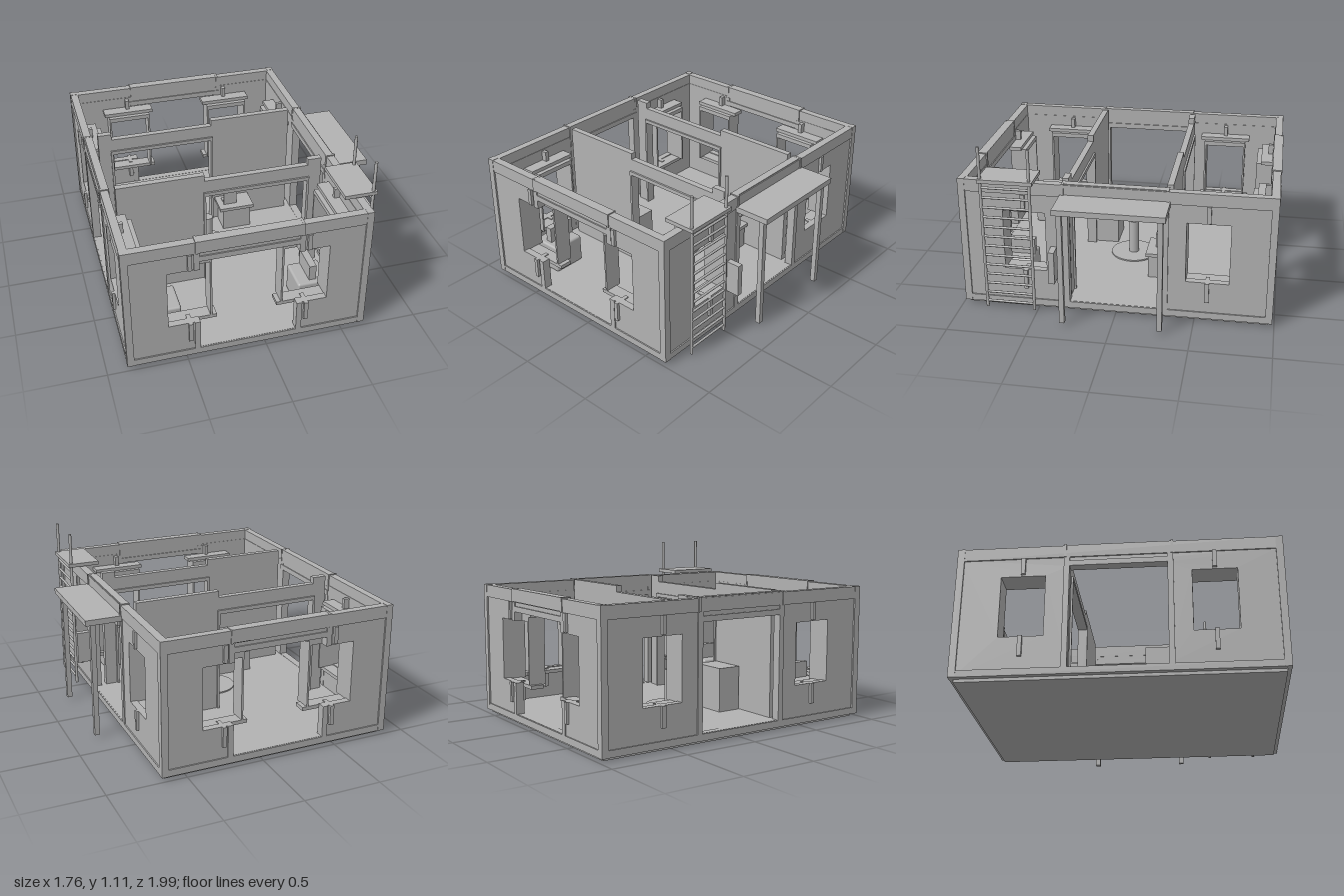
import * as THREE from 'three';
import { RoundedBoxGeometry } from 'three/addons/geometries/RoundedBoxGeometry.js';

const CX = -0.11; // centre of the house in x

export function createModel() {
  const root = new THREE.Group();
  const grey = new THREE.MeshStandardMaterial({ color: 0xb2b2b2 });
  grey.name = 'plain grey';

  const add = (parent, name, geo) => {
    const m = new THREE.Mesh(geo, grey);
    m.name = name;
    parent.add(m);
    return m;
  };
  // box from its two extreme corners
  const box = (parent, name, x0, x1, y0, y1, z0, z1) => {
    const m = add(parent, name, new THREE.BoxGeometry(x1 - x0, y1 - y0, z1 - z0));
    m.position.set((x0 + x1) / 2, (y0 + y1) / 2, (z0 + z1) / 2);
    return m;
  };
  const path = (pts, Type = THREE.Path) => new Type(pts.map(p => new THREE.Vector2(p[0], p[1])));
  const rect = (x0, x1, y0, y1) => [[x0, y0], [x1, y0], [x1, y1], [x0, y1]];

  // floor
  box(root, 'groundSlab', -0.84, 0.63, 0, 0.02, -0.96, 0.96);
  box(root, 'floor', -0.86, 0.64, 0.02, 0.063, -0.97, 0.97);

  // One outer wall, facing +z: w half width, d distance, door half width, u window centre
  function wall(name, w, d, door, u, angle, raised) {
    const g = new THREE.Group();
    g.name = name;
    g.position.x = CX;
    g.rotation.y = angle;
    root.add(g);
    const a = u - 0.135, b = u + 0.135, face = d - 0.008;
    const overlap = a < door;
    const shape = path(rect(-w, w, 0.02, 0.8), THREE.Shape);
    if (overlap) {
      // door and window openings run into each other
      shape.holes.push(path([
        [-door, 0.065], [door, 0.065], [door, 0.27], [b, 0.27], [b, 0.67], [door, 0.67],
        [door, 0.73], [-door, 0.73], [-door, 0.67], [-b, 0.67], [-b, 0.27], [-door, 0.27]]));
    } else {
      shape.holes.push(path(rect(-door, door, 0.065, 0.73)));
      for (const s of [-1, 1]) shape.holes.push(path(rect(s * u - 0.135, s * u + 0.135, 0.27, 0.67)));
    }
    const panel = add(g, 'wallPanel', new THREE.ExtrudeGeometry(shape, { depth: 0.045, bevelEnabled: false }));
    panel.position.z = face - 0.045;

    // base band, parapet and door header
    box(g, 'baseBand', -w, w, 0.02, 0.063, d - 0.045, d);
    box(g, 'parapet', -w, w, 0.79, 0.87, d - 0.05, d);
    box(g, 'parapetCentre', -0.32, 0.32, 0.795, 0.876, d - 0.055, d + raised);
    box(g, 'doorHeader', -door - 0.03, door + 0.03, 0.73, 0.765, d - 0.06, d);

    for (const s of [-1, 1]) {
      const at = (n, x0, x1, y0, y1, z0, z1) =>
        box(g, n, Math.min(s * x0, s * x1), Math.max(s * x0, s * x1), y0, y1, z0, z1);
      // door posts, interrupted where the window cuts them
      const spans = overlap ? [[0.02, 0.27], [0.67, 0.79]] : [[0.02, 0.79]];
      for (const [y0, y1] of spans) at('doorPost', door, door + 0.035, y0, y1, d - 0.055, d);
      at('parapetJoint', 0.315, 0.33, 0.79, 0.877, d - 0.058, d + 0.006);
      // window box on the inside
      at('windowJamb', a - 0.012, a, 0.26, 0.7, d - 0.165, face - 0.045);
      at('windowJamb', b, b + 0.012, 0.26, 0.7, d - 0.165, face - 0.045);
      at('windowHead', a - 0.01, b + 0.01, 0.67, 0.7, d - 0.165, face - 0.045);
      at('windowShelf', u - 0.175, u + 0.175, 0.7, 0.724, d - 0.135, face - 0.045);
      at('windowSill', u - 0.175, u + 0.175, 0.24, 0.264, d - 0.135, face - 0.045);
      // short straps above and below the window
      at('upperStrap', u - 0.013, u + 0.013, 0.68, 0.79, d - 0.09, d + 0.01);
      at('lowerStrap', u - 0.013, u + 0.013, 0.14, 0.27, d - 0.09, d + 0.01);
    }
  }
  wall('frontWall', 0.74, 0.985, 0.305, 0.365, 0, 0.006);
  wall('backWall', 0.74, 0.985, 0.305, 0.365, Math.PI, 0.006);
  wall('leftWall', 0.96, 0.762, 0.295, 0.575, Math.PI / 2, -0.006);
  wall('rightWall', 0.96, 0.762, 0.295, 0.575, -Math.PI / 2, -0.006);

  // corner posts
  for (const sx of [-1, 1]) for (const sz of [-1, 1]) {
    const x = CX + sx * 0.742, z = sz * 0.965;
    box(root, 'cornerPost', x - 0.022, x + 0.022, 0.02, 0.872, z - 0.022, z + 0.022);
  }

  // inner partitions, each with a wide opening under a thicker beam
  function partition(name, z, x0, x1) {
    const g = new THREE.Group();
    g.name = name;
    root.add(g);
    box(g, 'partitionSide', -0.78, x0, 0.063, 0.877, z - 0.02, z + 0.02);
    box(g, 'partitionSide', x1, 0.56, 0.063, 0.877, z - 0.02, z + 0.02);
    box(g, 'partitionTop', x0, x1, 0.73, 0.835, z - 0.02, z + 0.02);
    box(g, 'openingHead', x0 - 0.01, x1 + 0.01, 0.725, 0.75, z - 0.032, z + 0.032);
    box(g, 'openingJamb', x0 - 0.01, x0 + 0.005, 0.063, 0.73, z - 0.032, z + 0.032);
    box(g, 'openingJamb', x1 - 0.005, x1 + 0.01, 0.063, 0.73, z - 0.032, z + 0.032);
  }
  partition('frontPartition', 0.323, -0.215, 0.47);
  partition('backPartition', -0.328, -0.69, 0.0);

  // round mat with a pedestal
  const mat = add(root, 'roundMat', new THREE.CylinderGeometry(0.157, 0.157, 0.01, 48));
  mat.position.set(CX, 0.067, 0);
  const pedestal = add(root, 'pedestal', new THREE.CylinderGeometry(0.034, 0.034, 0.24, 32));
  pedestal.position.set(CX, 0.185, 0);

  // cabinet and desk
  box(root, 'cabinet', -0.48, -0.24, 0.063, 0.35, 0.135, 0.295);
  box(root, 'deskTop', 0.02, 0.265, 0.222, 0.245, -0.3, -0.135);
  box(root, 'deskBody', 0.045, 0.245, 0.063, 0.222, -0.29, -0.15);
  box(root, 'deskScreen', 0.06, 0.155, 0.245, 0.342, -0.205, -0.19);
  box(root, 'deskPad', 0.06, 0.155, 0.245, 0.255, -0.265, -0.23);

  // two seats near the front
  for (const s of [-1, 1]) {
    const x = CX + s * 0.485;
    const seat = add(root, 'seat', new RoundedBoxGeometry(0.21, 0.19, 0.225, 3, 0.015));
    seat.position.set(x, 0.158, 0.692);
    box(root, 'seatRidge', x - 0.023, x + 0.023, 0.24, 0.358, 0.582, 0.772);
  }

  // canopy over the side door
  box(root, 'canopyRoof', 0.65, 0.882, 0.77, 0.806, -0.34, 0.34);
  box(root, 'canopyBeam', 0.65, 0.668, 0.73, 0.77, -0.31, 0.31);
  for (const s of [-1, 1]) {
    const z = s * 0.305;
    box(root, 'canopyPost', 0.813, 0.846, 0.02, 0.77, z - 0.016, z + 0.016);
  }

  // box fixed to the side wall
  box(root, 'wallBox', 0.645, 0.735, 0.228, 0.445, 0.37, 0.408);

  // ladder with a landing
  const ladder = new THREE.Group();
  ladder.name = 'ladder';
  root.add(ladder);
  for (const z of [0.513, 0.82]) {
    const rail = add(ladder, 'ladderRail', new THREE.CylinderGeometry(0.01, 0.01, 1.09, 12));
    rail.position.set(0.712, 0.565, z);
  }
  for (let i = 0; i < 13; i++) {
    const rung = add(ladder, 'ladderRung', new THREE.CylinderGeometry(0.008, 0.008, 0.307, 10));
    rung.rotation.x = Math.PI / 2;
    rung.position.set(0.712, 0.063 + i * 0.0653, 0.6665);
  }
  box(ladder, 'landing', 0.525, 0.735, 0.882, 0.906, 0.49, 0.835);

  return root;
}
